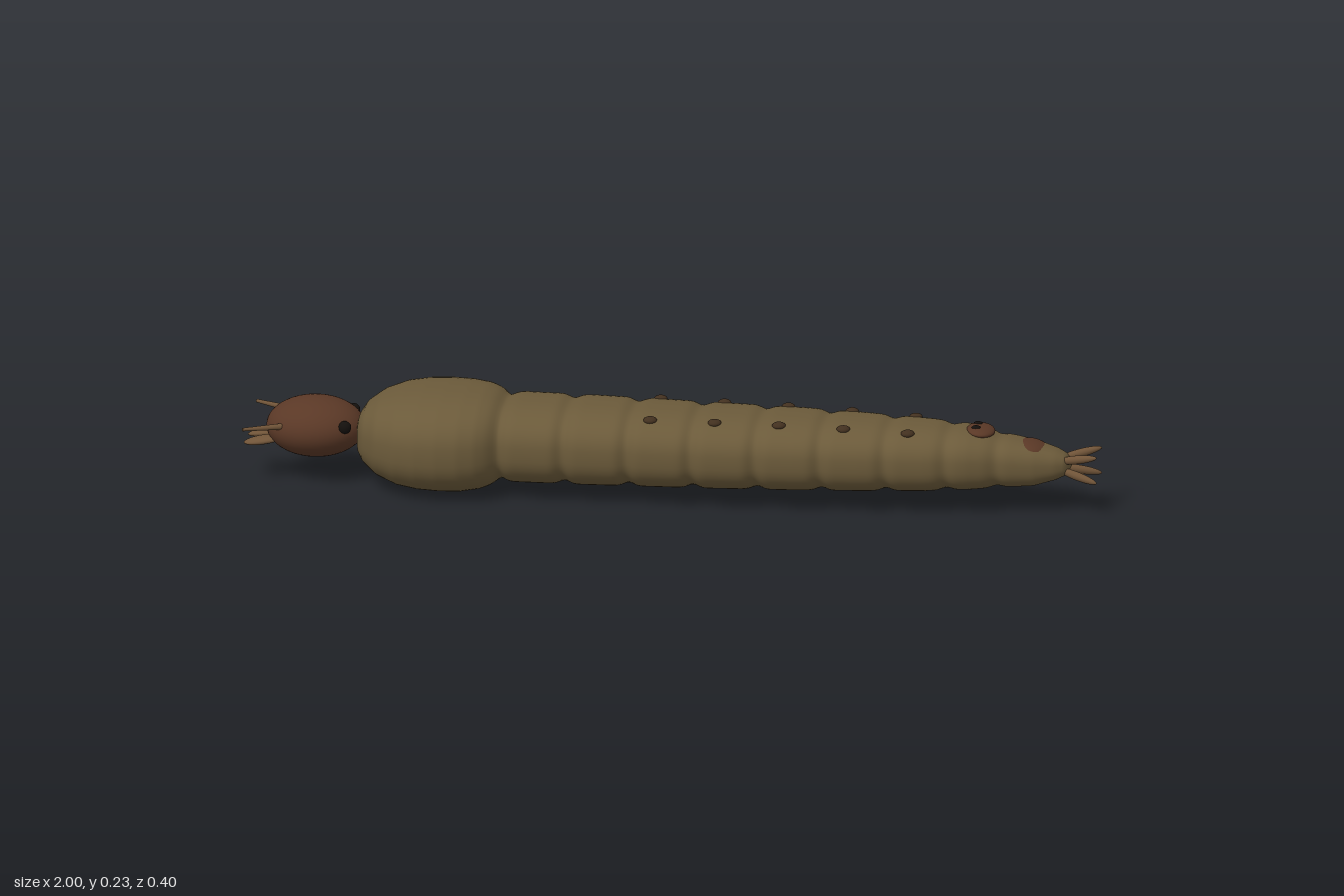
import * as THREE from 'three';

const mat = (color) => new THREE.MeshStandardMaterial({ color, roughness: 0.8 });
const POWER = 2.5;

// Envelope along the body: x, half width, centre height, half height
const envelope = [
  [-0.735, 0.03, 0.115, 0.025], [-0.73, 0.065, 0.115, 0.045], [-0.715, 0.1, 0.116, 0.066],
  [-0.68, 0.145, 0.116, 0.09], [-0.63, 0.18, 0.116, 0.107], [-0.58, 0.195, 0.116, 0.114],
  [-0.53, 0.199, 0.116, 0.116], [-0.48, 0.194, 0.116, 0.115], [-0.44, 0.18, 0.117, 0.11],
  [-0.405, 0.158, 0.118, 0.1], [-0.39, 0.149, 0.118, 0.094], [-0.2, 0.149, 0.118, 0.093],
  [0.1, 0.147, 0.118, 0.088], [0.3, 0.139, 0.119, 0.085], [0.45, 0.129, 0.119, 0.081],
  [0.6, 0.114, 0.119, 0.076], [0.7, 0.099, 0.119, 0.07], [0.77, 0.078, 0.115, 0.06],
  [0.85, 0.062, 0.111, 0.05], [0.9, 0.044, 0.111, 0.035], [0.925, 0.028, 0.111, 0.023],
  [0.935, 0.002, 0.111, 0.002],
];
const grooves = [-0.39, -0.24, -0.09, 0.06, 0.21, 0.36, 0.51, 0.65, 0.765];

function section(x) {
  let i = 0;
  while (i < envelope.length - 2 && x > envelope[i + 1][0]) i++;
  const a = envelope[i], b = envelope[i + 1];
  const t = (x - a[0]) / (b[0] - a[0]);
  // Segments pinch in at each groove
  let pinch = 1;
  for (const g of grooves) pinch -= 0.085 * Math.exp(-(((x - g) / 0.017) ** 2));
  const mix = (k) => a[k] + (b[k] - a[k]) * t;
  return { w: mix(1) * pinch, cy: mix(2), h: mix(3) * pinch };
}

function topAt(x, z) {
  const { w, cy, h } = section(x);
  return cy + h * Math.pow(Math.max(0, 1 - Math.pow(Math.abs(z) / w, POWER)), 1 / POWER);
}

function bodyGeometry() {
  const rows = 260, sides = 56, pos = [], index = [];
  const x0 = envelope[0][0], x1 = envelope[envelope.length - 1][0];
  const bend = (v) => Math.sign(v) * Math.pow(Math.abs(v), 2 / POWER);
  for (let i = 0; i <= rows; i++) {
    const x = x0 + ((x1 - x0) * i) / rows;
    const { w, cy, h } = section(x);
    for (let j = 0; j < sides; j++) {
      const a = (j / sides) * Math.PI * 2;
      pos.push(x, cy + h * bend(Math.sin(a)), w * bend(Math.cos(a)));
      if (i < rows) {
        const p = i * sides + j, q = i * sides + ((j + 1) % sides);
        index.push(p, p + sides, q, q, p + sides, q + sides);
      }
    }
  }
  const geo = new THREE.BufferGeometry();
  geo.setAttribute('position', new THREE.Float32BufferAttribute(pos, 3));
  geo.setIndex(index);
  geo.computeVertexNormals();
  return geo;
}

export function createModel() {
  const group = new THREE.Group();
  const skin = mat(0x6b5a3a), brown = mat(0x5a3826), dark = mat(0x42301f);
  const black = mat(0x14100d), horn = mat(0x705438);

  const add = (name, geo, material) => {
    const mesh = new THREE.Mesh(geo, material);
    mesh.name = name;
    group.add(mesh);
    return mesh;
  };
  const ellipsoid = (name, material, p, r, seg = 20) => {
    const mesh = add(name, new THREE.SphereGeometry(1, seg, Math.ceil(seg * 0.7)), material);
    mesh.position.set(...p);
    mesh.scale.set(...r);
    return mesh;
  };
  // Spindle-shaped lobe stretched between two points
  const lobe = (name, material, from, to, rx, rz = rx) => {
    const a = new THREE.Vector3(...from), b = new THREE.Vector3(...to);
    const dir = b.clone().sub(a), length = dir.length();
    const mesh = ellipsoid(name, material, a.add(b).multiplyScalar(0.5).toArray(), [rx, length / 2, rz]);
    mesh.quaternion.setFromUnitVectors(new THREE.Vector3(0, 1, 0), dir.normalize());
  };

  add('body', bodyGeometry(), skin);
  ellipsoid('head', brown, [-0.835, 0.123, 0], [0.115, 0.07, 0.1], 36);

  for (const s of [-1, 1]) {
    // Head details
    ellipsoid('eye', black, [-0.757, 0.143, s * 0.07], [0.015, 0.015, 0.014]);
    const a = new THREE.Vector3(-0.895, 0.138, s * 0.065), b = new THREE.Vector3(-0.99, 0.14, s * 0.113);
    const antenna = add('antenna', new THREE.CylinderGeometry(0.004, 0.008, a.distanceTo(b), 12), horn);
    antenna.position.copy(a).lerp(b, 0.5);
    antenna.quaternion.setFromUnitVectors(new THREE.Vector3(0, 1, 0), b.sub(a).normalize());
    lobe('mouthLobe', horn, [-0.905, 0.1, s * 0.025], [-0.999, 0.084, s * 0.033], 0.009, 0.021);

    // Paired spots along the back
    for (let i = 0; i < 5; i++) {
      const x = -0.04 + i * 0.15, z = s * (0.083 - i * 0.0045);
      ellipsoid('backSpot', dark, [x, topAt(x, z) - 0.001, z], [0.016, 0.009, 0.016], 16);
    }
    ellipsoid('breathingPore', black, [0.713, 0.194, s * 0.016], [0.011, 0.006, 0.009], 16);

    // Four spreading tail lobes
    for (const v of [-1, 1])
      lobe('tailLobe', horn, [0.9, 0.111 + v * 0.008, s * 0.01], [0.999, 0.111 + v * 0.031, s * 0.043], 0.01);
  }

  // Hardened plates near the tail
  const pad = ellipsoid('rearPlate', brown, [0.722, 0.184, 0], [0.033, 0.012, 0.047], 28);
  pad.rotation.z = -0.12;
  const tailPlate = ellipsoid('tailPlate', brown, [0.845, 0.15, 0], [0.038, 0.014, 0.045], 28);
  tailPlate.rotation.z = -0.25;
  return group;
}
